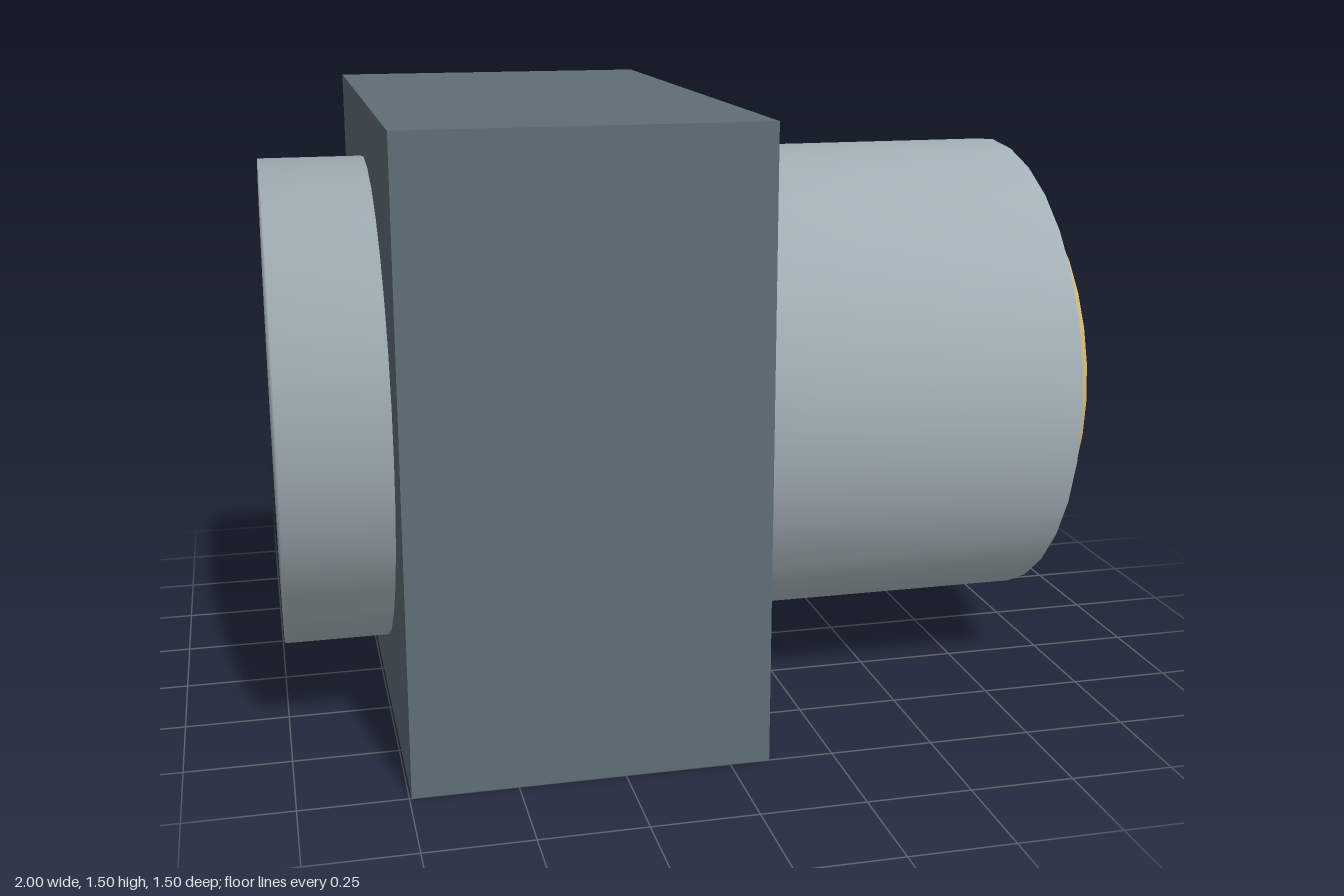
import * as THREE from 'three';
import { mergeVertices } from 'three/addons/utils/BufferGeometryUtils.js';

const CENTRE_Y = 0.75;
const SIDES = 32;

// Solid round bar along x whose normals roll softly over both rims
function softDisc(name, radius, x0, x1, color) {
  const points = Array.from({ length: SIDES }, (_, i) => {
    const a = (i / SIDES) * Math.PI * 2;
    return new THREE.Vector2(Math.cos(a) * radius, Math.sin(a) * radius);
  });
  const length = x1 - x0;
  let geometry = new THREE.ExtrudeGeometry(new THREE.Shape(points), { depth: length, bevelEnabled: false });
  geometry.translate(0, 0, -length / 2).rotateY(Math.PI / 2);
  geometry.deleteAttribute('normal');
  geometry.deleteAttribute('uv');
  geometry = mergeVertices(geometry);
  geometry.computeVertexNormals();

  // Each rim normal leans halfway between the wall and the end face
  const p = geometry.attributes.position;
  const n = new THREE.Vector3();
  for (let i = 0; i < p.count; i++) {
    n.set(Math.sign(p.getX(i)), p.getY(i) / radius, p.getZ(i) / radius).normalize();
    geometry.attributes.normal.setXYZ(i, n.x, n.y, n.z);
  }

  const mesh = new THREE.Mesh(geometry, new THREE.MeshStandardMaterial({ color }));
  mesh.name = name;
  mesh.position.set((x0 + x1) / 2, CENTRE_Y, 0);
  return mesh;
}

export function createModel() {
  const group = new THREE.Group();
  group.name = 'blockWithBarrel';

  // Square housing block
  const block = new THREE.Mesh(
    new THREE.BoxGeometry(0.84, 1.5, 1.5),
    new THREE.MeshStandardMaterial({ color: 0x5f6e76 })
  );
  block.name = 'housingBlock';
  block.position.set(-0.325, CENTRE_Y, 0);

  // Barrel through the block, and the cap just clear of its end
  group.add(
    block,
    softDisc('barrel', 0.607, -1, 0.92, 0xb0bec5),
    softDisc('endCap', 0.468, 0.94, 1, 0xe0c583)
  );
  return group;
}
